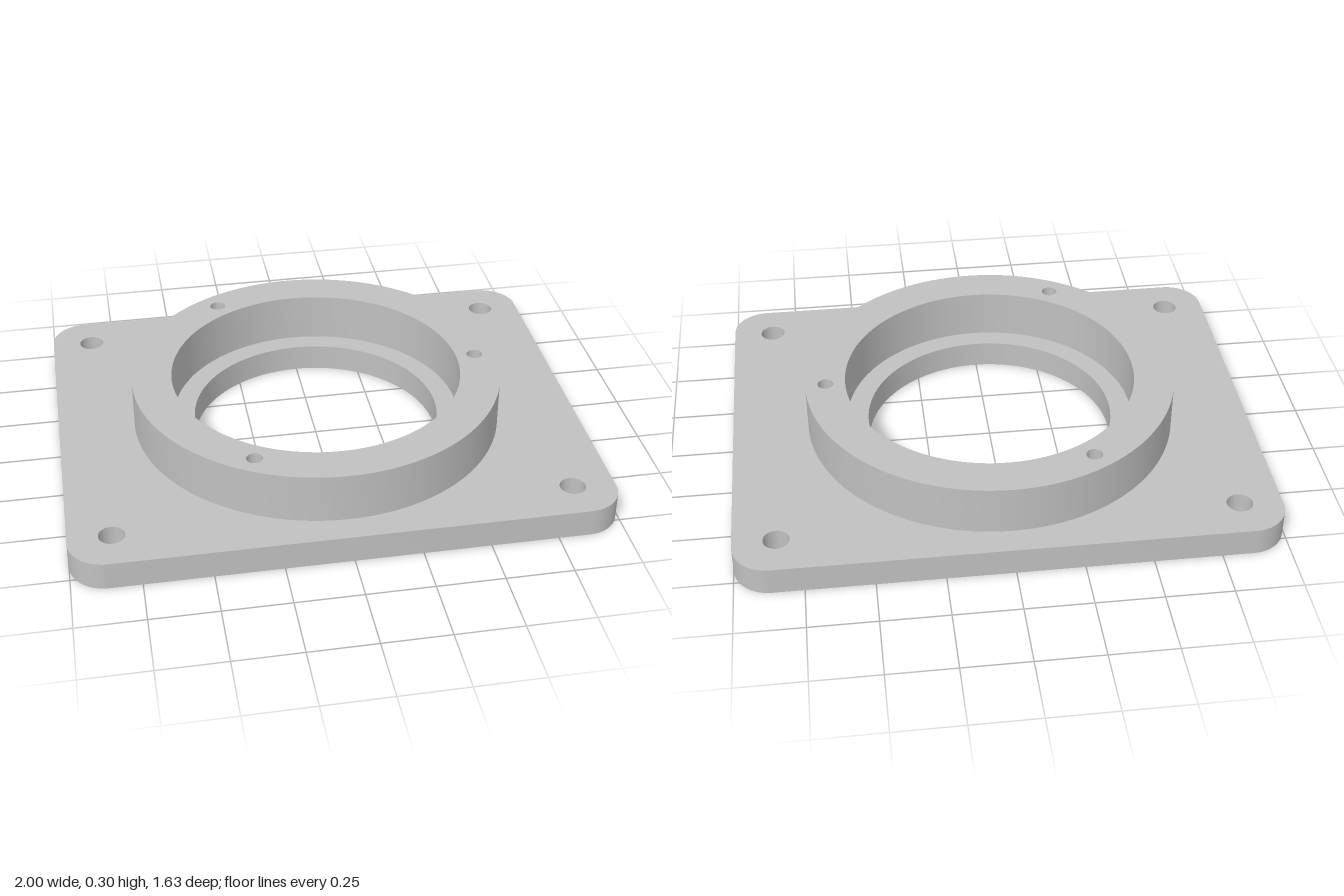
import * as THREE from 'three';
import { toCreasedNormals } from 'three/addons/utils/BufferGeometryUtils.js';

const PLATE_X = 1, PLATE_Z = 0.815, PLATE_H = 0.106, CORNER = 0.135;
const RING_TOP = 0.296, RING_R = 0.71, SEAT_R = 0.557, BORE_R = 0.475;

// circular cut-out for a shape
function hole(x, y, r) {
  const path = new THREE.Path();
  path.absarc(x, y, r, 0, Math.PI * 2, true);
  return path;
}

// extrude a plan outline upwards, smooth round walls and sharp edges
function extrudeUp(shape, height) {
  const geometry = new THREE.ExtrudeGeometry(shape, { depth: height, bevelEnabled: false, curveSegments: 64 });
  geometry.rotateX(-Math.PI / 2);
  return toCreasedNormals(geometry, 0.6);
}

export function createModel() {
  const group = new THREE.Group();
  group.name = 'flangeMount';
  const metal = new THREE.MeshStandardMaterial({ color: 0xc0c0c0 });
  metal.name = 'grey metal';

  // rounded base plate with central bore and four corner bolt holes
  const plate = new THREE.Shape();
  const cx = PLATE_X - CORNER, cz = PLATE_Z - CORNER;
  [[1, 1], [-1, 1], [-1, -1], [1, -1]].forEach(([sx, sz], i) => {
    plate.absarc(sx * cx, sz * cz, CORNER, i * Math.PI / 2, (i + 1) * Math.PI / 2, false);
    plate.holes.push(hole(sx * 0.842, sz * 0.657, 0.048));
  });
  plate.closePath();
  plate.holes.push(hole(0, 0, BORE_R));
  const basePlate = new THREE.Mesh(extrudeUp(plate, PLATE_H), metal);
  basePlate.name = 'basePlate';
  group.add(basePlate);

  // raised collar, wider than the bore so a ledge remains, with three blind screw holes
  const ring = new THREE.Shape();
  ring.absarc(0, 0, RING_R, 0, Math.PI * 2, false);
  ring.holes.push(hole(0, 0, SEAT_R));
  for (let i = 0; i < 3; i++) {
    const a = i * Math.PI * 2 / 3;
    ring.holes.push(hole(Math.cos(a) * 0.632, Math.sin(a) * 0.632, 0.03));
  }
  const collar = new THREE.Mesh(extrudeUp(ring, RING_TOP - PLATE_H), metal);
  collar.name = 'collar';
  collar.position.y = PLATE_H;
  group.add(collar);

  return group;
}
